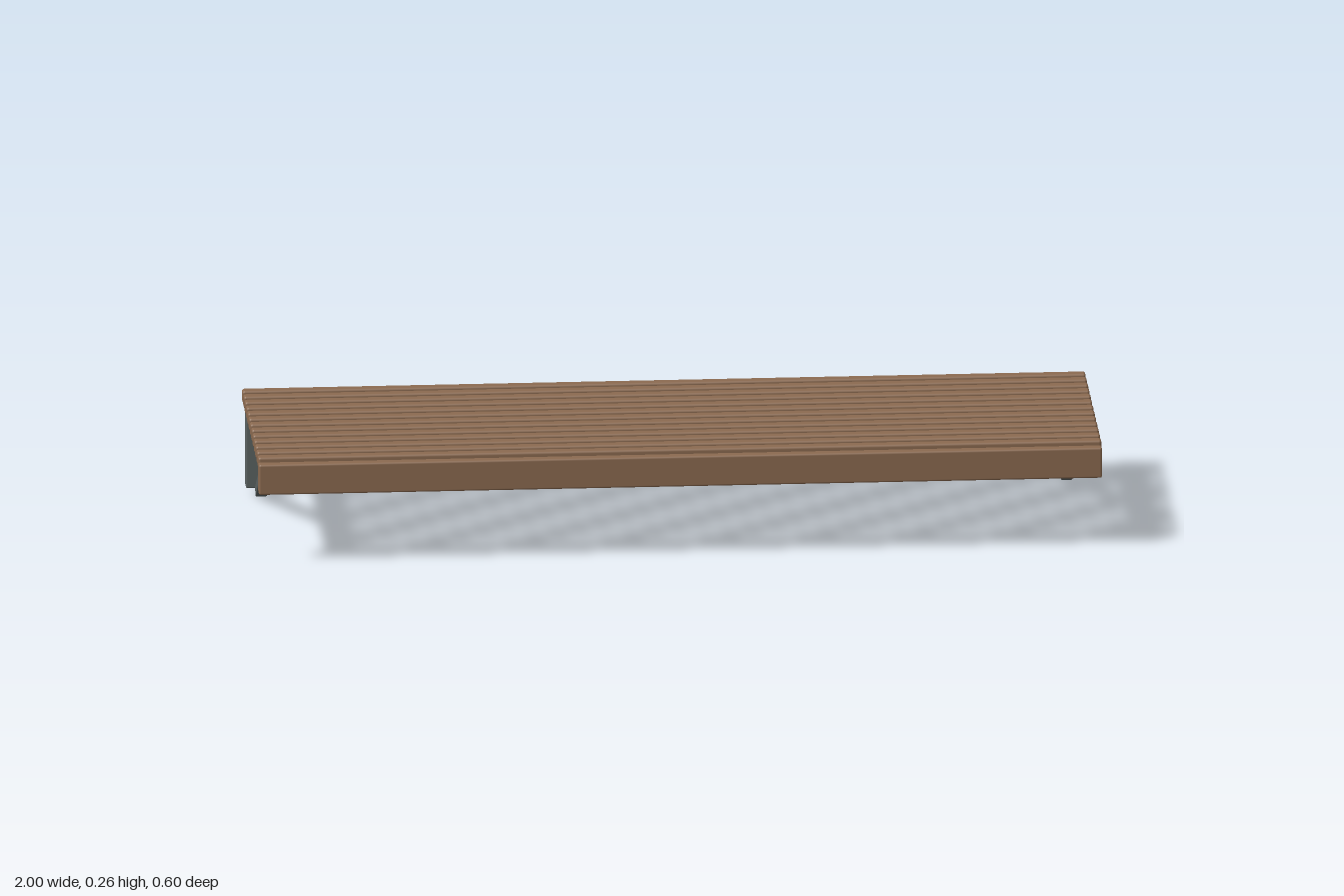
import * as THREE from 'three';
import { RoundedBoxGeometry } from 'three/addons/geometries/RoundedBoxGeometry.js';

export function createModel() {
  const model = new THREE.Group();
  model.name = 'wallBench';
  const wood = new THREE.MeshStandardMaterial({ name: 'brown wood', color: 0x8b6a50 });
  const steel = new THREE.MeshStandardMaterial({ name: 'grey steel', color: 0x5a6261 });

  // Soft-edged bar of a given size and centre
  function bar(parent, name, material, size, position, radius) {
    const mesh = new THREE.Mesh(new RoundedBoxGeometry(...size, 2, radius), material);
    mesh.name = name;
    mesh.position.set(...position);
    parent.add(mesh);
    return mesh;
  }

  // Seat slats running the full width
  const slatCount = 13;
  const seat = new THREE.Group();
  seat.name = 'seat';
  model.add(seat);
  for (let i = 0; i < slatCount; i++) {
    const z = 0.268 - (i * 0.536) / (slatCount - 1);
    bar(seat, 'slat', wood, [2, 0.031, 0.027], [0, 0.2515, z], 0.006);
  }

  // Front board
  bar(seat, 'frontBoard', wood, [2, 0.075, 0.034], [0, 0.2175, 0.285], 0.005);

  // Wall brackets: arm, wall plate and diagonal brace on each side
  const braceTop = new THREE.Vector2(0.0285, 0.199);
  const braceFoot = new THREE.Vector2(-0.2705, 0.0142);
  const run = braceTop.clone().sub(braceFoot);
  for (const side of [1, -1]) {
    const bracket = new THREE.Group();
    bracket.name = side > 0 ? 'leftBracket' : 'rightBracket';
    bracket.position.x = side * 0.955;
    model.add(bracket);
    bar(bracket, 'arm', steel, [0.04, 0.051, 0.56], [0, 0.2175, -0.002], 0.003);
    bar(bracket, 'wallPlate', steel, [0.072, 0.211, 0.033], [0, 0.1275, -0.2845], 0.004);
    const brace = bar(bracket, 'brace', steel, [0.028, 0.028, run.length()],
      [0, (braceTop.y + braceFoot.y) / 2, (braceTop.x + braceFoot.x) / 2], 0.004);
    brace.rotation.x = -Math.atan2(run.y, run.x);
  }
  return model;
}
